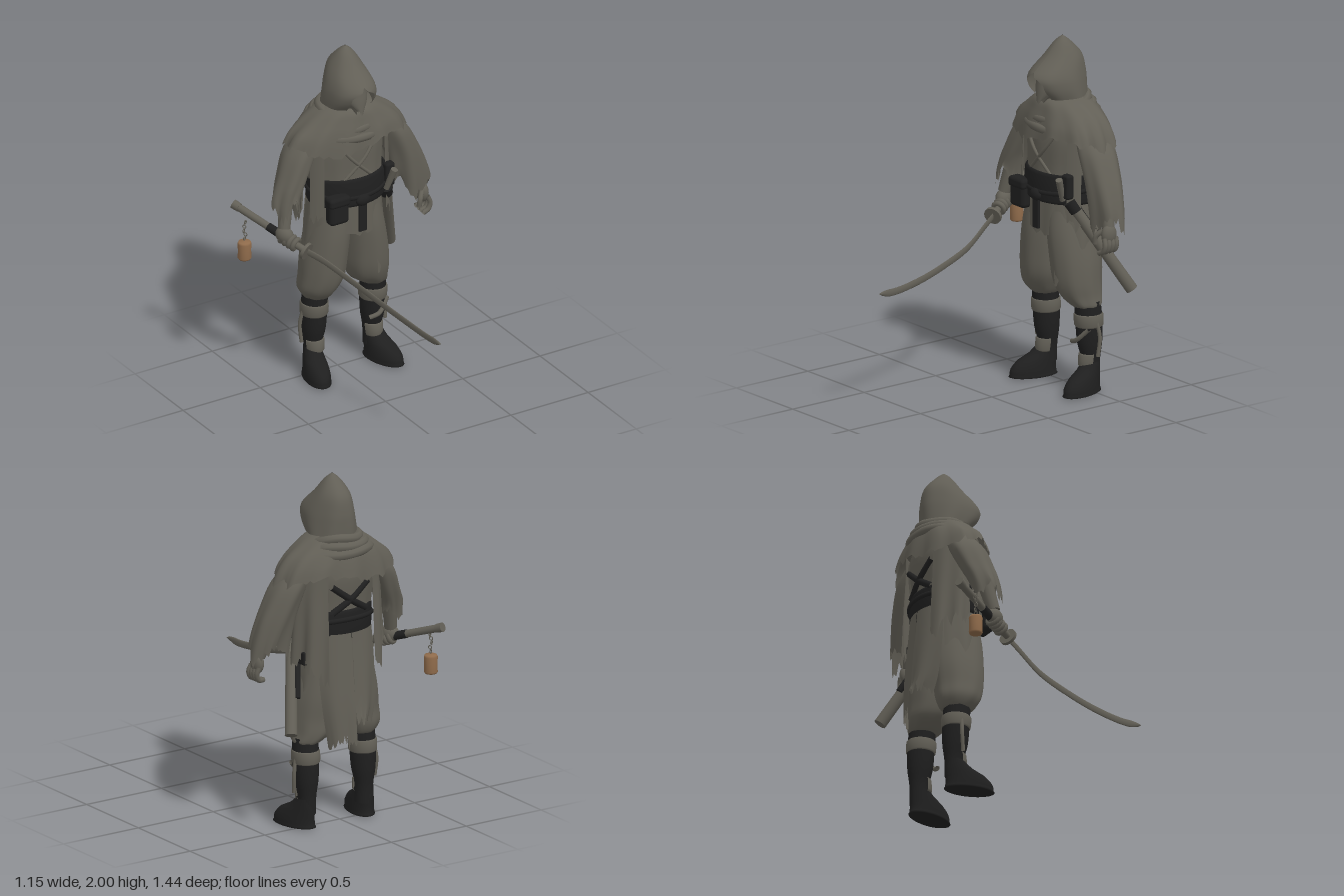
import * as THREE from 'three';
import { RoundedBoxGeometry } from 'three/addons/geometries/RoundedBoxGeometry.js';

const mat = (name, color) => {
  const m = new THREE.MeshStandardMaterial({ color, side: THREE.DoubleSide });
  m.name = name;
  return m;
};
const rnd = (i, s) => {
  const v = Math.sin(i * 127.1 + s * 311.7) * 43758.5453;
  return v - Math.floor(v);
};
const V = (p) => new THREE.Vector3(...p);

// Surface from fn(u, v); wraps around u when closed
function grid(nu, nv, closed, fn) {
  const pos = [], idx = [], cols = closed ? nu : nu + 1;
  for (let j = 0; j <= nv; j++)
    for (let i = 0; i < cols; i++) pos.push(...fn(i / nu, j / nv, i));
  for (let j = 0; j < nv; j++)
    for (let i = 0; i < nu; i++) {
      const a = j * cols + i, b = j * cols + ((i + 1) % cols), c = a + cols, d = b + cols;
      idx.push(a, c, b, b, c, d);
    }
  const g = new THREE.BufferGeometry();
  g.setAttribute('position', new THREE.Float32BufferAttribute(pos, 3));
  g.setIndex(idx);
  g.computeVertexNormals();
  return g;
}

// Smooth loft through elliptical rings [x, y, z, rx, rz], top to bottom.
// Angle 0 is the front, PI/2 the +x side. hem tears the last edge, fold adds pleats.
function loft(rings, { seg = 36, a0 = 0, a1 = Math.PI * 2, hem = 0, fold = 0, n = 9, seed = 1, gap = null, sub = 4 } = {}) {
  const last = rings.length - 1, closed = !gap && a1 - a0 > 6.28;
  const at = (v) => {
    const t = v * last, k = Math.min(Math.floor(t), last - 1), f = t - k;
    const [p, q, r, s] = [-1, 0, 1, 2].map((o) => rings[Math.min(last, Math.max(0, k + o))]);
    return q.map((_, c) => 0.5 * (2 * q[c] + (r[c] - p[c]) * f + (2 * p[c] - 5 * q[c] + 4 * r[c] - s[c]) * f * f
      + (3 * q[c] - p[c] - 3 * r[c] + s[c]) * f * f * f));
  };
  return grid(seg, last * sub, closed, (u, v, i) => {
    const [x, y, z, rx, rz] = at(v);
    const g = gap ? gap(y) : 0;
    const a = a0 + g + (a1 - a0 - 2 * g) * u;
    const k = 1 + fold * v * Math.sin(n * a + seed + v * 1.5);
    const tear = hem * (rnd(i, seed) * 0.6 + 0.4 * Math.sin(a * 3 + seed)) * Math.max(0, (v - 0.6) / 0.4);
    return [x + rx * k * Math.sin(a), y - tear, z + rz * k * Math.cos(a)];
  });
}

export function createModel() {
  const cloth = mat('weathered cloth', 0x625f56);
  const black = mat('black leather', 0x1f1f1f);
  const brown = mat('gourd brown', 0x8f6b4b);
  const root = new THREE.Group();
  const add = (name, geo, m = cloth) => {
    const mesh = new THREE.Mesh(geo, m);
    mesh.name = name;
    root.add(mesh);
    return mesh;
  };
  const tube = (name, pts, r, m = cloth, closed = false) =>
    add(name, new THREE.TubeGeometry(new THREE.CatmullRomCurve3(pts.map(V), closed), closed ? 48 : 16, r, 8, closed), m);
  const ball = (name, p, s, m = cloth) => {
    const b = add(name, new THREE.SphereGeometry(1, 20, 14), m);
    b.position.set(...p);
    b.scale.set(...s);
    return b;
  };
  const rod = (name, a, b, r0, r1, m = cloth, sides = 14) => {
    const d = V(b).sub(V(a));
    const c = add(name, new THREE.CylinderGeometry(r1, r0, d.length(), sides), m);
    c.position.copy(V(a)).addScaledVector(d, 0.5);
    c.quaternion.setFromUnitVectors(new THREE.Vector3(0, 1, 0), d.normalize());
    return c;
  };
  const box = (name, size, p, r, m = black) => add(name, new RoundedBoxGeometry(...size, 3, r), m).position.set(...p);

  // Hood, veiled face and scarf
  add('hood', loft([[.03, 2, -.47, .004, .004], [.03, 1.965, -.47, .045, .048], [.03, 1.89, -.47, .092, .115],
    [.03, 1.8, -.43, .128, .175], [.03, 1.73, -.435, .14, .172], [.03, 1.67, -.46, .142, .145]],
    { seg: 48, fold: .02, n: 7, gap: (y) => 0.55 * THREE.MathUtils.smoothstep(1.82 - y, 0, 0.06) }));
  ball('face', [.03, 1.74, -.42], [.085, .12, .1]);
  add('veil', loft([[.03, 1.79, -.37, .06, .06], [.03, 1.72, -.36, .065, .06], [.03, 1.66, -.315, .02, .02]], { hem: .03 }));
  add('neck', loft([[.02, 1.72, -.47, .1, .1], [.02, 1.6, -.48, .15, .13]]));
  [[.14, .13, 1.655, .05], [.175, .155, 1.62, .08], [.21, .172, 1.585, .09]].forEach(([rx, rz, y, sag], k) => {
    const pts = Array.from({ length: 16 }, (_, i) => {
      const a = i * Math.PI / 8;
      return [.025 + rx * Math.sin(a), y - sag * (.5 + .5 * Math.cos(a)) + .008 * Math.sin(3 * a + k), -.475 + rz * Math.cos(a)];
    });
    tube('scarfRoll', pts, .028, cloth, true);
  });
  add('shoulderMantle', loft([[.025, 1.67, -.475, .12, .12], [.03, 1.64, -.475, .18, .15], [.035, 1.585, -.48, .26, .172],
    [.035, 1.52, -.48, .335, .19], [.035, 1.46, -.48, .372, .2]], { seg: 84, hem: .06, fold: .035, n: 11, seed: 3 }));

  // Torso tunic with crossed lapels
  add('tunic', loft([[.02, 1.58, -.48, .2, .13], [.02, 1.45, -.48, .235, .165], [.02, 1.27, -.47, .225, .155],
    [.02, 1.1, -.46, .215, .155], [.02, .94, -.46, .22, .16]], { seg: 48, hem: .06, fold: .03, n: 12 }));
  for (const s of [-1, 1]) {
    tube('lapel', [[.02 + .15 * s, 1.52, -.345], [.02 + .05 * s, 1.38, -.311], [.02 - .1 * s, 1.23, -.325]], .01);
    tube('backCord', [[.02 + .11 * s, 1.24, -.615], [.02, 1.31, -.633], [.02 - .12 * s, 1.4, -.622]], .019, black);
  }

  // Belt, pouch and hanging strap
  add('belt', loft([[.03, 1.25, -.465, .22, .16], [.03, 1.235, -.465, .237, .177], [.03, 1.1, -.46, .237, .177],
    [.03, 1.085, -.46, .22, .16]], { sub: 2 }), black);
  tube('beltRope', Array.from({ length: 12 }, (_, i) => [.03 + .235 * Math.sin(i * Math.PI / 6), 1.17 - .03 * Math.cos(i * Math.PI / 6),
    -.465 + .175 * Math.cos(i * Math.PI / 6)]), .015, black, true);
  box('pouch', [.125, .15, .07], [-.125, 1.085, -.3], .025);
  box('pouchFlap', [.135, .06, .08], [-.125, 1.15, -.298], .02);
  box('hipPocket', [.06, .14, .05], [.235, 1.2, -.345], .015);
  ball('beltKnot', [.03, 1.12, -.285], [.045, .035, .025], black);
  box('beltStrap', [.05, .17, .015], [.03, 1.01, -.287], .005);
  rod('daggerHandle', [.21, 1.12, -.33], [.235, 1.25, -.285], .016, .02);
  box('scabbardHanger', [.04, .08, .07], [.262, .99, -.53], .012);

  // Baggy trousers, wrapped calves and boots
  add('trouserSeat', loft([[.02, 1.1, -.46, .2, .14], [.02, .98, -.47, .2, .145], [.02, .9, -.475, .13, .105], [.02, .82, -.48, .05, .06]]));
  for (const s of [-1, 1]) {
    const X = (d) => .037 + s * d, P = (d) => .018 + s * d;
    add('trouserLeg', loft([[P(.09), 1.04, -.46, .11, .14], [P(.11), .9, -.46, .12, .15], [P(.13), .75, -.465, .128, .148],
      [P(.143), .63, -.467, .126, .136], [P(.16), .55, -.48, .112, .12], [X(.18), .495, -.49, .08, .085], [X(.185), .485, -.49, .05, .06]],
      { fold: .035, n: 8, seed: s }));
    add('bootShaft', loft([[X(.188), .52, -.49, .07, .075], [X(.19), .4, -.5, .073, .077], [X(.19), .28, -.505, .066, .072],
      [X(.19), .18, -.512, .05, .054], [X(.19), .08, -.508, .05, .056]]), black);
    add('calfWrap', loft([[X(.19), .445, -.497, .066, .07], [X(.19), .44, -.497, .078, .084], [X(.19), .38, -.5, .078, .083],
      [X(.19), .37, -.5, .066, .07]], { sub: 2 }));
    // Wrap showing only over the instep
    add('ankleWrap', loft([[X(.19), .215, -.508, .052, .054], [X(.19), .21, -.508, .06, .066], [X(.19), .15, -.502, .055, .066],
      [X(.19), .14, -.5, .045, .05]], { sub: 2, seg: 20, a0: -1.3, a1: 1.3 }));
    const foot = add('boot', loft([[0, .17, -.003, .048, .053], [0, .125, .02, .055, .08], [0, .09, .055, .063, .115], [0, .045, .077, .07, .134],
      [0, .012, .077, .071, .138], [0, 0, .077, .068, .134], [0, 0, .077, .001, .001]], { sub: 2 }), black);
    foot.position.set(X(.198), 0, -.505);
    foot.rotation.y = s * .24;
    tube('calfRibbon', [[X(.255), .42, -.5], [X(.275), .32, -.51], [X(.27), .21, -.5]], .011);
  }
  tube('legStrap', [[.165, .28, -.43], [.22, .3, -.418], [.29, .37, -.45]], .013);

  // Torn skirt sides and long split coat tails
  for (const s of [-1, 1]) {
    const mid = s > 0 ? 1.4 : Math.PI * 2 - 1.4;
    add('skirtSide', loft([[.02, 1.08, -.47, .22, .165], [.02, .9, -.47, .236, .175], [.02, .75, -.47, .245, .175]],
      { a0: mid - .85, a1: mid + .85, seg: 28, hem: .15, fold: .03, n: 10, seed: 5 + s }));
    const back = Math.PI - s * .46;
    add('coatTail', loft([[.02, 1.12, -.47, .225, .175], [.02, .9, -.48, .235, .185], [.02, .7, -.49, .22, .195],
      [.02, s > 0 ? .49 : .62, -.5, .18, .2]], { a0: back - .45, a1: back + .45, seg: 18, hem: .14, fold: .04, n: 9, seed: 8 + s }));
    // Cloak panel over the shoulder blade, open in the middle of the back
    const side = Math.PI - s * 1.1;
    add('cloakPanel', loft([[.02, 1.54, -.48, .26, .18], [.02, 1.35, -.48, .275, .185], [.02, 1.15, -.48, .28, .2],
      [.02, s > 0 ? .95 : 1, -.48, .285, .21]],
      { a0: side - .52, a1: side + .52, seg: 22, hem: .16, fold: .05, n: 12, seed: 11 + s }));
    const front = s * 1.0;
    add('frontDrape', loft([[.02, 1.52, -.48, .27, .17], [.02, 1.25, -.47, .275, .17], [.02, 1.02, -.46, .28, .16]],
      { a0: front - .2, a1: front + .2, seg: 10, hem: .14, seed: 15 + s }));
  }

  // Wide torn sleeves
  add('leftSleeve', loft([[.24, 1.53, -.48, .06, .08], [.32, 1.42, -.475, .092, .11], [.385, 1.28, -.468, .102, .105],
    [.43, 1.15, -.46, .112, .092], [.448, 1.08, -.457, .115, .082]], { seg: 44, hem: .13, fold: .09, n: 6, seed: 2 }));
  add('rightSleeve', loft([[-.17, 1.53, -.49, .06, .08], [-.255, 1.42, -.485, .085, .105], [-.325, 1.28, -.46, .08, .095],
    [-.368, 1.19, -.44, .078, .08], [-.378, 1.15, -.43, .078, .075]], { seg: 44, hem: .12, fold: .09, n: 6, seed: 4 }));

  // Left arm and relaxed hand
  rod('leftForearm', [.42, 1.22, -.46], [.49, 1.01, -.43], .05, .034);
  ball('leftPalm', [.5, .975, -.425], [.033, .06, .048]);
  for (let i = 0; i < 4; i++) {
    const z = -.385 - i * .026;
    tube('leftFinger', [[.51, .96, z], [.525, .92, z + .005], [.51, .885, z + .008], [.475, .87 + i * .004, z + .01]], .0145);
  }
  tube('leftThumb', [[.485, 1, -.4], [.455, .965, -.37], [.447, .92, -.37]], .015);

  // Right arm and hand closed on the grip
  rod('rightForearm', [-.36, 1.24, -.455], [-.405, 1.01, -.405], .048, .035);
  const pommel = [-.54, 1.06, -.7], guard = [-.345, .91, -.285];
  const axis = V(guard).sub(V(pommel)).normalize();
  const onGrip = (d) => V(pommel).addScaledVector(axis, d).toArray();
  const turn = new THREE.Quaternion().setFromUnitVectors(new THREE.Vector3(0, 0, 1), axis);
  ball('rightPalm', [-.405, .97, -.4], [.042, .05, .055]).quaternion.copy(turn);
  for (let i = 0; i < 4; i++) {
    const f = add('rightFinger', new THREE.TorusGeometry(.03, .015, 8, 18));
    f.position.copy(V(guard)).addScaledVector(axis, -.065 - i * .028);
    f.quaternion.copy(turn);
  }

  // Curved sword
  rod('swordGrip', pommel, guard, .022, .02);
  rod('gripWrap', onGrip(.23), onGrip(.32), .024, .024, black);
  rod('pommelCap', onGrip(-.01), onGrip(.03), .027, .025);
  rod('swordGuard', guard, V(guard).addScaledVector(axis, .018).toArray(), .05, .05, cloth, 24);
  const spine = new THREE.CatmullRomCurve3([[-.335, .903, -.27], [-.29, .875, -.18], [-.215, .805, 0], [-.165, .755, .2],
    [-.125, .718, .4], [-.098, .698, .6], [-.09, .706, .715]].map(V));
  add('blade', grid(8, 40, true, (u, v) => {
    const p = spine.getPoint(v), a = u * Math.PI * 2;
    const h = .021 * Math.min(1, .05 + Math.sqrt((1 - v) * 9));
    return [p.x + .0065 * Math.cos(a), p.y + h * Math.sin(a), p.z];
  }));

  // Scabbard slung at the left hip, with a dark strap along its inner side
  rod('scabbard', [.24, 1.08, -.38], [.425, .6, -.645], .031, .035);
  rod('scabbardMouth', [.228, 1.11, -.363], [.25, 1.055, -.394], .036, .036, black);
  rod('scabbardStrap', [.23, 1.06, -.42], [.335, .78, -.575], .02, .018, black);

  // Gourd swinging from the pommel
  const gx = -.54, gz = -.6;
  add('gourd', new THREE.LatheGeometry([[0, 0], [.033, 0], [.039, .01], [.037, .05], [.039, .095], [.034, .107], [0, .11]]
    .map(([x, y]) => new THREE.Vector2(x, y)), 16), brown).position.set(gx, .77, gz);
  for (let i = 0; i < 5; i++) {
    const link = add('cordLink', new THREE.TorusGeometry(.01, .003, 6, 12));
    link.position.set(gx + .006 * Math.sin(i * 2), .895 + i * .025, gz);
    link.rotation.y = i * Math.PI / 2 + .5;
  }
  return root;
}
